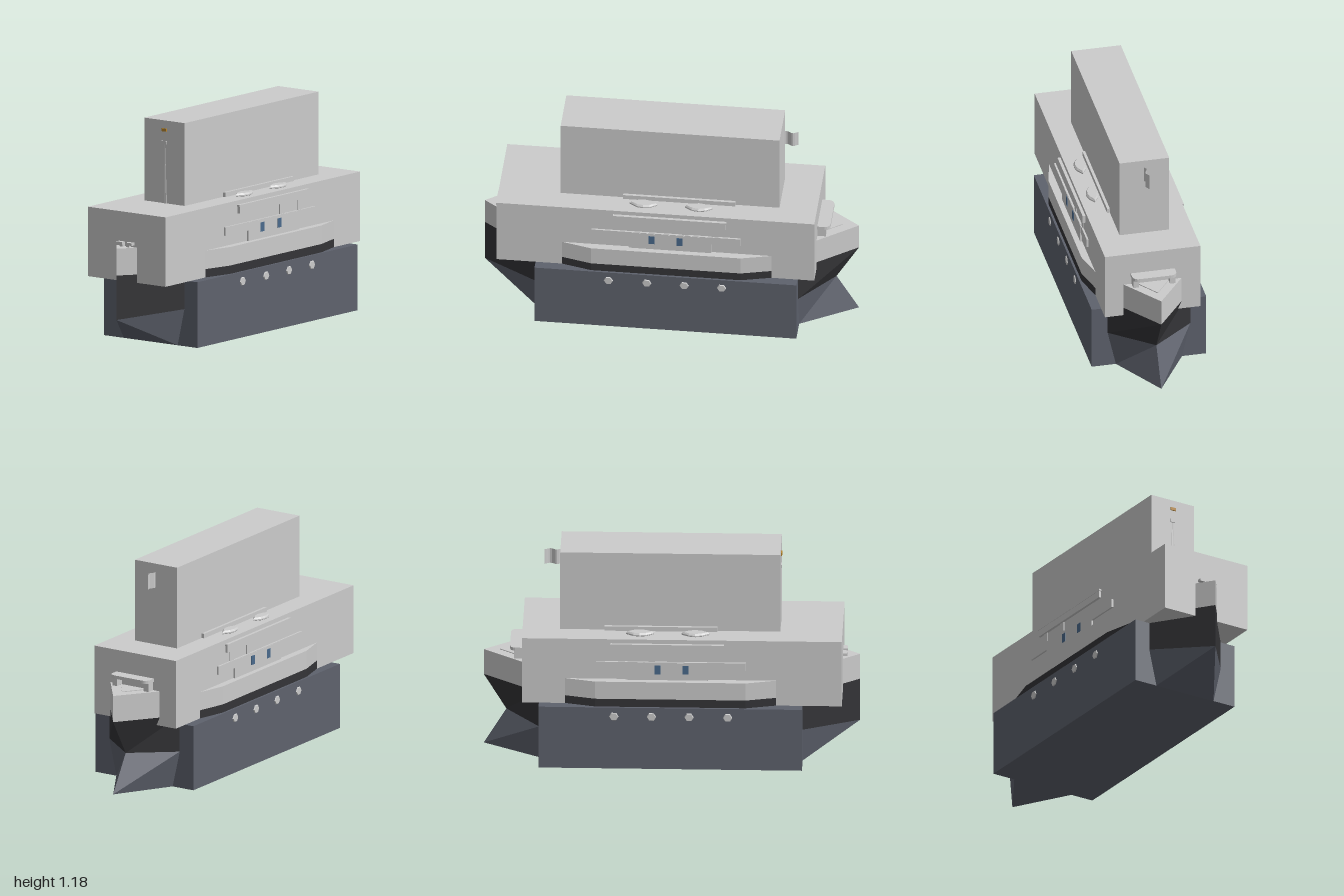
import * as THREE from 'three';

const mat = (color, side = THREE.FrontSide) =>
  new THREE.MeshStandardMaterial({ color, side, flatShading: true });
const grey = mat(0xcccccc);
const slate = mat(0x5e626d);
const black = mat(0x343437);
const blue = mat(0x4a6a8c);
const amber = mat(0xb8862e);

// Hull stations from bow to stern: [half width, y, z] at keel, chine, waterline, deck
const mid = (z, w, top) => [[w * 0.8, 0, z], [w, 0.2, z], [w, 0.4, z], [w, top, z]];
const stations = [
  [[0, 0.16, 1], [0, 0.16, 1], [0, 0.4, 1], [0, 0.545, 1]],
  mid(0.7, 0.225, 0.545),
  mid(0.6, 0.25, 0.5),
  mid(0.4, 0.3, 0.5),
  mid(-0.4, 0.3, 0.5),
  mid(-0.6, 0.25, 0.5),
  mid(-0.7, 0.225, 0.545),
  [[0, 0, -1], [0, 0.2, -0.88], [0, 0.4, -1], [0, 0.545, -1]],
];

function fromTriangles(pos) {
  const g = new THREE.BufferGeometry();
  g.setAttribute('position', new THREE.Float32BufferAttribute(pos, 3));
  g.computeVertexNormals();
  return g;
}

function quad(pos, a, b, c, d) {
  const v = (p) => new THREE.Vector3(...p);
  for (const t of [[a, b, c], [a, c, d]]) {
    if (new THREE.Triangle(...t.map(v)).getArea() > 1e-7) pos.push(...t.flat());
  }
}

const flip = ([x, y, z]) => [-x, y, z];

// Both sides of the hull between two levels
function hullBand(level) {
  const pos = [];
  for (let i = 0; i < stations.length - 1; i++) {
    const a = stations[i][level], b = stations[i + 1][level];
    const c = stations[i + 1][level + 1], d = stations[i][level + 1];
    quad(pos, a, b, c, d);
    quad(pos, flip(d), flip(c), flip(b), flip(a));
  }
  return fromTriangles(pos);
}

// Flat closing surface across the hull
function hullCap(level, up) {
  const pos = [];
  for (let i = 0; i < stations.length - 1; i++) {
    const a = stations[i][level], b = stations[i + 1][level];
    const q = [a, b, flip(b), flip(a)];
    quad(pos, ...(up ? q : q.reverse()));
  }
  return fromTriangles(pos);
}

export function createModel() {
  const model = new THREE.Group();
  model.name = 'ship';

  const add = (name, geometry, material = grey) => {
    const mesh = new THREE.Mesh(geometry, material);
    mesh.name = name;
    model.add(mesh);
    return mesh;
  };
  // Box given by its min and max on each axis
  const box = (name, [x0, x1], [y0, y1], [z0, z1], material) => {
    const mesh = add(name, new THREE.BoxGeometry(x1 - x0, y1 - y0, z1 - z0), material);
    mesh.position.set((x0 + x1) / 2, (y0 + y1) / 2, (z0 + z1) / 2);
    return mesh;
  };

  // Hull
  add('hullBottom', hullCap(0, false), slate);
  add('hullLowerSides', hullBand(0), slate);
  add('hullWaterBand', hullBand(1), black);
  add('hullUpperSides', hullBand(2));
  add('deck', hullCap(3, true));

  // Stacked main blocks
  box('lowerBlock', [-0.312, 0.312], [0, 0.355], [-0.7, 0.7], slate);
  box('middleBlock', [-0.26, 0.26], [0.355, 0.73], [-0.79, 0.91]);
  box('upperBlock', [-0.135, 0.135], [0.73, 1.177], [-0.59, 0.58]);

  // Pointed lens outline of the roof boats
  const lens = new THREE.Shape();
  lens.moveTo(0, -0.065);
  lens.quadraticCurveTo(0.05, 0, 0, 0.065);
  lens.quadraticCurveTo(-0.05, 0, 0, -0.065);
  const boatGeometry = new THREE.ExtrudeGeometry(lens, {
    depth: 0.006, bevelThickness: 0.009, bevelSize: 0.007, bevelSegments: 1, curveSegments: 4,
  });

  for (const s of [1, -1]) {
    const span = (a, b) => (s > 0 ? [a, b] : [-b, -a]);

    // Galleries and cabin wall along the side
    box('upperGallery', span(0.255, 0.274), [0.66, 0.705], [-0.315, 0.28]);
    box('upperGalleryRail', span(0.255, 0.276), [0.697, 0.707], [-0.32, 0.285]);
    box('lowerGallery', span(0.255, 0.27), [0.557, 0.603], [-0.395, 0.4]);
    box('cabinWall', span(0.255, 0.271), [0.495, 0.6], [-0.24, 0.2]);
    box('roofRail', span(0.13, 0.15), [0.728, 0.755], [-0.355, 0.245]);
    for (const z of [0.08, -0.07]) {
      box('cabinWindow', span(0.26, 0.273), [0.535, 0.585], [z - 0.016, z + 0.016], blue);
    }
    for (const z of [-0.1, -0.26]) {
      box('galleryPost', span(0.255, 0.265), [0.6, 0.665], [z - 0.018, z + 0.018]);
    }

    // Portholes
    for (const z of [0.305, 0.1, -0.1, -0.3]) {
      const port = add('porthole', new THREE.CylinderGeometry(0.022, 0.03, 0.012, 6));
      port.rotation.z = -s * Math.PI / 2;
      port.position.set(s * 0.311, 0.303, z);
    }

    // Roof boats
    for (const z of [0.13, -0.165]) {
      const boat = add('roofBoat', boatGeometry);
      boat.rotation.x = -Math.PI / 2;
      boat.position.set(s * 0.19, 0.732, z);
    }

    // Bow bollards
    box('bollardPost', span(0.012, 0.03), [0.54, 0.56], [0.905, 0.93]);
    box('bollardTop', span(0.012, 0.052), [0.556, 0.57], [0.905, 0.935]);

    // Legs of the stern rail
    box('sternRailLeg', span(0.085, 0.115), [0.545, 0.6], [-0.835, -0.79]);
  }

  // Stern rail and raised deck plate
  const rail = new THREE.Shape();
  rail.moveTo(-0.12, 0.79);
  rail.lineTo(-0.12, 0.83);
  rail.quadraticCurveTo(-0.115, 0.858, -0.085, 0.858);
  rail.lineTo(0.085, 0.858);
  rail.quadraticCurveTo(0.115, 0.858, 0.12, 0.83);
  rail.lineTo(0.12, 0.79);
  const railTop = add('sternRailTop',
    new THREE.ExtrudeGeometry(rail, { depth: 0.018, bevelEnabled: false, curveSegments: 4 }));
  railTop.rotation.x = -Math.PI / 2;
  railTop.position.y = 0.592;

  const plate = new THREE.Shape([[-0.085, 0.8], [0.085, 0.8], [0, 0.915]]
    .map(([x, y]) => new THREE.Vector2(x, y)));
  const sternPlate = add('sternPlate',
    new THREE.ExtrudeGeometry(plate, { depth: 0.005, bevelEnabled: false }));
  sternPlate.rotation.x = -Math.PI / 2;
  sternPlate.position.y = 0.544;

  // Tapered mast with crosspiece and lamp on the front of the upper block
  const mast = add('mast', new THREE.CylinderGeometry(0.004, 0.017, 0.325, 8));
  mast.scale.z = 0.25;
  mast.position.set(0, 0.89, 0.58);
  box('mastCrosspiece', [-0.016, 0.016], [1.048, 1.066], [0.57, 0.585]);
  box('mastLamp', [-0.016, 0.016], [1.118, 1.134], [0.57, 0.586], amber);

  // Waving flag at the back of the upper block
  const flagGeometry = new THREE.PlaneGeometry(0.095, 0.085, 10, 1);
  const p = flagGeometry.attributes.position;
  for (let i = 0; i < p.count; i++) p.setZ(i, 0.008 * Math.sin(p.getX(i) * 90));
  const flag = add('flag', flagGeometry, mat(0xcccccc, THREE.DoubleSide));
  flag.rotation.y = Math.PI / 2;
  flag.position.set(0, 1.093, -0.629);

  return model;
}
